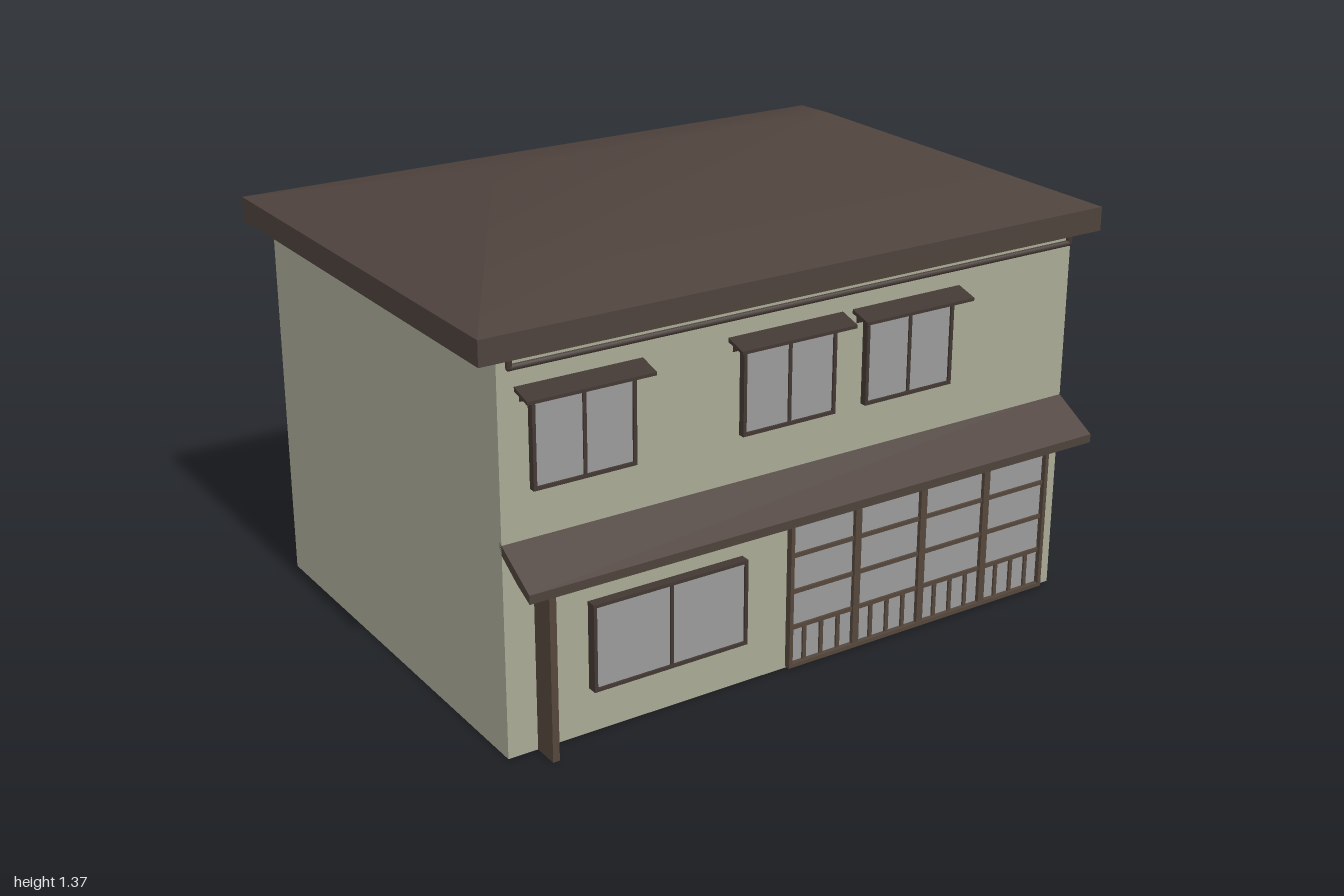
import * as THREE from 'three';

const mat = (name, color) => Object.assign(new THREE.MeshStandardMaterial({ color }), { name });

export function createModel() {
  const root = new THREE.Group();
  root.name = 'house';
  const wall = mat('sage plaster', 0xa8aa95);
  const roofMat = mat('roof brown', 0x4e423c);
  const wood = mat('timber brown', 0x54463b);
  const dark = mat('dark trim', 0x433833);
  const glass = mat('grey glass', 0x9a9a9c);
  const WALL_Z = 0.625;

  const add = (name, geo, material, parent = root) => {
    const m = new THREE.Mesh(geo, material);
    m.name = name;
    parent.add(m);
    return m;
  };
  const group = (name) => {
    const g = new THREE.Group();
    g.name = name;
    root.add(g);
    return g;
  };
  // Box from its limits on each axis
  const box = (name, material, [x0, x1], [y0, y1], [z0, z1], parent) => {
    const geo = new THREE.BoxGeometry(x1 - x0, y1 - y0, z1 - z0);
    geo.translate((x0 + x1) / 2, (y0 + y1) / 2, (z0 + z1) / 2);
    return add(name, geo, material, parent);
  };
  // Side profile of [z, y] points swept along x
  const sweepX = (name, material, pts, x0, x1, parent) => {
    const shape = new THREE.Shape(pts.map(([z, y]) => new THREE.Vector2(z, y)));
    const geo = new THREE.ExtrudeGeometry(shape, { depth: x1 - x0, bevelEnabled: false });
    geo.rotateY(-Math.PI / 2).translate(x1, 0, 0);
    return add(name, geo, material, parent);
  };
  // Rectangular frame with an open middle
  const frame = (name, material, x0, x1, y0, y1, w, z0, z1, parent) => {
    const rect = (P, i) => new P([[x0 + i, y0 + i], [x1 - i, y0 + i], [x1 - i, y1 - i], [x0 + i, y1 - i]]
      .map(([x, y]) => new THREE.Vector2(x, y)));
    const shape = rect(THREE.Shape, 0);
    shape.holes.push(rect(THREE.Path, w));
    const geo = new THREE.ExtrudeGeometry(shape, { depth: z1 - z0, bevelEnabled: false });
    add(name, geo.translate(0, 0, z0), material, parent);
  };

  // Walls
  box('walls', wall, [-0.93, 0.93], [0, 1.11], [-0.715, WALL_Z]);

  // Hipped roof: fascia band, then slopes that blend softly at the ridge ends
  const roof = group('roof');
  box('fascia', roofMat, [-1, 1], [1.11, 1.18], [-0.76, 0.67], roof);
  const fl = [-1, 1.18, 0.67], fr = [1, 1.18, 0.67], br = [1, 1.18, -0.76], bl = [-1, 1.18, -0.76];
  const ridgeL = [-0.56, 1.365, -0.045], ridgeR = [0.56, 1.365, -0.045];
  const slopes = new THREE.BufferGeometry();
  slopes.setAttribute('position', new THREE.Float32BufferAttribute(
    [ridgeL, ridgeR, fl, fr, br, bl, fr, br, bl, fl].flat(), 3));
  slopes.setIndex([2, 3, 1, 2, 1, 0, 4, 5, 0, 4, 0, 1, 6, 7, 1, 8, 9, 0]);
  slopes.computeVertexNormals();
  add('roofSlopes', slopes, roofMat, roof);

  // Gutter pipe under the front eave
  const gutter = group('gutter');
  const path = new THREE.CurvePath();
  const bends = [[-0.905, 1.11], [-0.905, 1.083], [0.905, 1.083], [0.905, 1.11]]
    .map(([x, y]) => new THREE.Vector3(x, y, 0.645));
  for (let i = 0; i < 3; i++) path.add(new THREE.LineCurve3(bends[i], bends[i + 1]));
  path.curves.forEach((c) => add('gutterPipe', new THREE.TubeGeometry(c, 1, 0.009, 8), dark, gutter));
  for (const b of [bends[1], bends[2]])
    add('gutterElbow', new THREE.SphereGeometry(0.009, 8, 6).translate(b.x, b.y, b.z), dark, gutter);

  // Sloping canopy between the storeys, held by struts
  const canopy = group('canopy');
  sweepX('canopyRoof', roofMat,
    [[0.615, 0.615], [0.615, 0.588], [0.7, 0.535], [0.762, 0.505], [0.762, 0.53]], -0.93, 0.93, canopy);
  for (const x of [-0.715, -0.245, 0.225, 0.695]) {
    sweepX('canopyStrut', dark, [[0.625, 0.465], [0.755, 0.508], [0.745, 0.52], [0.625, 0.482]],
      x - 0.01, x + 0.01, canopy);
    box('canopyRafter', dark, [x - 0.01, x + 0.01], [0.515, 0.53], [WALL_Z, 0.735], canopy);
  }

  // Narrow screen wall beside the entrance
  box('sideScreen', wood, [-0.842, -0.822], [0, 0.55], [WALL_Z, 0.703]);

  // Two-pane sliding window
  const window2 = (name, x0, x1, y0, y1, depth) => {
    const g = group(name);
    const mid = (x0 + x1) / 2, z1 = WALL_Z + depth;
    frame('windowFrame', dark, x0, x1, y0, y1, 0.01, WALL_Z, z1, g);
    box('windowGlass', glass, [x0 + 0.008, x1 - 0.008], [y0 + 0.008, y1 - 0.008], [z1 - 0.014, z1 - 0.006], g);
    box('windowMullion', dark, [mid - 0.005, mid + 0.005], [y0 + 0.008, y1 - 0.008], [WALL_Z, z1 - 0.002], g);
    return g;
  };
  window2('lowerWindow', -0.685, -0.2, 0.132, 0.387, 0.03);
  // Upper windows, each below a small awning
  for (const x0 of [-0.845, -0.215, 0.188]) {
    const g = window2('upperWindow', x0, x0 + 0.302, 0.743, 0.998, 0.02);
    sweepX('awning', dark, [[0.62, 1.024], [0.62, 1.012], [0.69, 0.995], [0.69, 1.004]],
      x0 - 0.037, x0 + 0.333, g);
    for (const x of [x0 - 0.018, x0 + 0.314])
      sweepX('awningBracket', dark, [[0.625, 0.98], [0.67, 1.0], [0.625, 1.014]], x - 0.005, x + 0.005, g);
  }

  // Four lattice sliding doors
  const doors = group('slidingDoors');
  const x0 = -0.05, x1 = 0.885, w = (x1 - x0) / 4;
  frame('doorSurround', wood, x0, x1, 0.005, 0.452, 0.012, WALL_Z, 0.645, doors);
  box('doorGlass', glass, [x0 + 0.01, x1 - 0.01], [0.015, 0.442], [WALL_Z, 0.63], doors);
  for (const y of [0.345, 0.235, 0.125])
    box('doorRail', wood, [x0 + 0.01, x1 - 0.01], [y - 0.006, y + 0.006], [WALL_Z, 0.637], doors);
  for (let i = 0; i < 4; i++) {
    const px = x0 + i * w;
    if (i) box('doorStile', wood, [px - 0.011, px + 0.011], [0.015, 0.442], [WALL_Z, 0.642], doors);
    for (let k = 1; k < 4; k++) {
      const sx = px + (k * w) / 4;
      box('doorSlat', wood, [sx - 0.006, sx + 0.006], [0.015, 0.122], [WALL_Z, 0.636], doors);
    }
  }
  return root;
}
